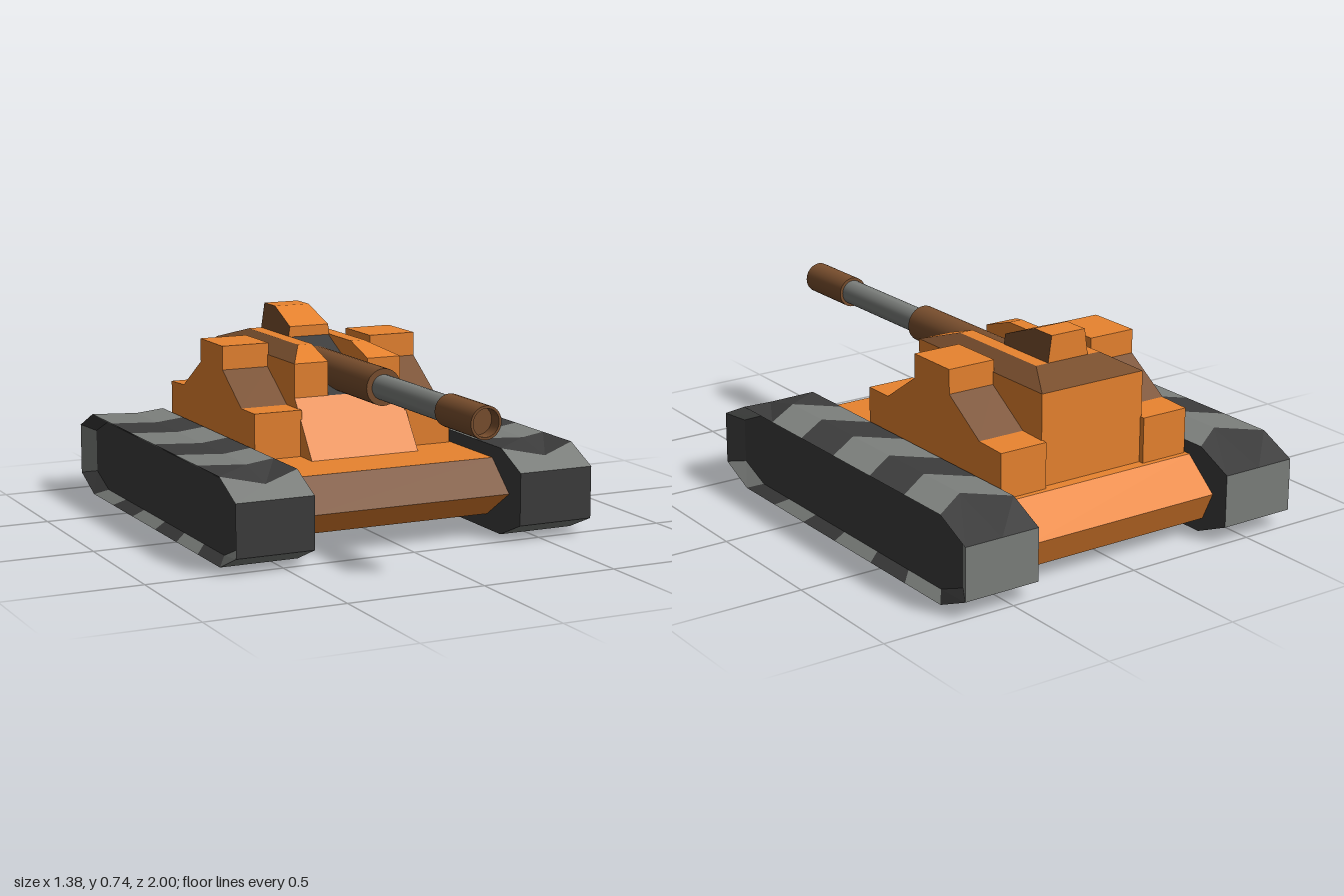
import * as THREE from 'three';
import { toCreasedNormals } from 'three/addons/utils/BufferGeometryUtils.js';

const ORANGE = 0xe8832f, BROWN = 0x7a4f2e, DARK = 0x3c3c3c, LIGHT = 0x7c7f7c;

// Flat-shaded group from faces [color, [corner, ...]], one mesh per color
function panels(name, faces) {
  const group = new THREE.Group();
  group.name = name;
  const byColor = new Map();
  for (const [color, pts] of faces) {
    if (!byColor.has(color)) byColor.set(color, []);
    for (let i = 1; i < pts.length - 1; i++) byColor.get(color).push(...pts[0], ...pts[i], ...pts[i + 1]);
  }
  for (const [color, pos] of byColor) {
    const geo = new THREE.BufferGeometry();
    geo.setAttribute('position', new THREE.Float32BufferAttribute(pos, 3));
    geo.computeVertexNormals();
    const mesh = new THREE.Mesh(geo, new THREE.MeshStandardMaterial({ color, flatShading: true }));
    mesh.name = name + 'Panels';
    group.add(mesh);
  }
  return group;
}

const mirror = faces => faces.map(([c, pts]) => [c, pts.map(([x, y, z]) => [-x, y, z]).reverse()]);

// Cap closing a [z, y] profile at a given x; side is +1 or -1
function cap(profile, xAt, side, color) {
  const tris = THREE.ShapeUtils.triangulateShape(profile.map(p => new THREE.Vector2(...p)), []);
  return tris.map(t => {
    const pts = t.map(i => [xAt(profile[i][1]), profile[i][1], profile[i][0]]);
    return [color, side > 0 ? pts.reverse() : pts];
  });
}

// Prism along x; profile is [z, y] running front, up, back; edge colors may differ
function prism(profile, x0, x1, edgeColors = {}, capColor = ORANGE) {
  const lo = typeof x0 === 'function' ? x0 : () => x0;
  const hi = typeof x1 === 'function' ? x1 : () => x1;
  const faces = profile.map(([z, y], i) => {
    const [z2, y2] = profile[(i + 1) % profile.length];
    return [edgeColors[i] ?? ORANGE, [[lo(y), y, z], [hi(y), y, z], [hi(y2), y2, z2], [lo(y2), y2, z2]]];
  });
  return [...faces, ...cap(profile, lo, -1, capColor), ...cap(profile, hi, 1, capColor)];
}

// Track: a ring of chevron plates with a recessed outer panel
function trackFaces() {
  const inner = 0.4, mid = 0.545, outer = 0.69, panelX = 0.65;
  const zs = [0.4, 0.2, 0, -0.21, -0.44, -0.65, -0.86];
  const edge = [
    [0.54, 0.06], [0.54, 0.25], ...zs.map(z => [z, 0.315]),
    [-1, 0.25], [-1, 0.06], ...[...zs].reverse().map(z => [z, 0]),
  ];
  const centre = edge.map(([z, y], i) => {
    if (i === 2) return [0.46, 0.288];
    return y > 0.3 ? [z + 0.1, 0.325] : [z, y];
  });
  const panel = edge.map(([z, y]) => [-0.23 + (z + 0.23) * 0.91, 0.157 + (y - 0.157) * 0.84]);
  const faces = [];
  const band = (i, color, xa, A, xb, B) => {
    const j = (i + 1) % edge.length;
    const at = (x, [z, y]) => [x, y, z];
    faces.push([color, [at(xa, A[i]), at(xb, B[i]), at(xb, B[j]), at(xa, A[j])]]);
  };
  edge.forEach((_, i) => {
    const color = i % 2 ? LIGHT : DARK;
    band(i, color, inner, edge, mid, centre);
    band(i, color, mid, centre, outer, edge);
    band(i, color, outer, edge, panelX, panel);
  });
  return [...faces, ...cap(edge, () => inner, -1, DARK), ...cap(panel, () => panelX, 1, DARK)];
}

// One side of the turret's upper part, next to the gun slot
function turretHalfFaces() {
  const a = [0.08, 0.475, -0.03], b = [0.213, 0.475, -0.03], c = [0.213, 0.6, -0.03], f = [0.08, 0.6, -0.03];
  const d = [0.135, 0.645, -0.17], e = [0.08, 0.645, -0.17], m = [0.08, 0.645, -0.37];
  const g = [0.213, 0.6, -0.76], h = [0.135, 0.645, -0.62], i = [0.08, 0.645, -0.62];
  const j = [0, 0.6, -0.76], k = [0, 0.645, -0.62], l = [0.213, 0.475, -0.76], n = [0, 0.475, -0.76];
  return [
    [ORANGE, [a, b, c, f]], [ORANGE, [f, c, d, e]], [ORANGE, [e, d, h, i]],
    [ORANGE, [b, l, g, c]], [ORANGE, [l, n, j, g]], [ORANGE, [a, f, e, m]],
    [BROWN, [c, g, h, d]], [BROWN, [g, j, k, h]],
  ];
}

// Round gun section from a [radius, z] profile
function gunPart(name, color, profile) {
  const geo = new THREE.LatheGeometry(profile.map(p => new THREE.Vector2(...p)), 32);
  geo.rotateX(Math.PI / 2);
  const mesh = new THREE.Mesh(toCreasedNormals(geo, 0.6), new THREE.MeshStandardMaterial({ color }));
  mesh.name = name;
  mesh.position.y = 0.545;
  return mesh;
}

export function createModel() {
  const model = new THREE.Group();
  model.name = 'tank';

  // Hull between the tracks
  model.add(panels('hull', prism(
    [[0.46, 0.16], [0.335, 0.27], [-0.8, 0.27], [-0.93, 0.16], [-0.88, 0.055], [0.3, 0.055]],
    -0.4, 0.4, { 0: BROWN })));

  // Tracks and stepped side pods
  const track = trackFaces();
  const pod = prism(
    [[0.02, 0.26], [0.02, 0.44], [-0.1, 0.44], [-0.27, 0.555], [-0.27, 0.643], [-0.48, 0.643],
      [-0.48, 0.555], [-0.655, 0.44], [-0.78, 0.435], [-0.78, 0.26]],
    0.208, 0.393, { 2: BROWN, 6: BROWN });
  model.add(panels('leftTrack', track), panels('rightTrack', mirror(track)));
  model.add(panels('leftPod', pod), panels('rightPod', mirror(pod)));

  // Turret base, roof halves and the sloped floor of the gun slot
  const half = turretHalfFaces();
  model.add(panels('turretBase', prism(
    [[0.12, 0.265], [-0.03, 0.475], [-0.76, 0.475], [-0.76, 0.265]], -0.213, 0.213)));
  model.add(panels('turretTop', [...half, ...mirror(half)]));
  model.add(panels('gunSlot', prism(
    [[-0.03, 0.475], [-0.37, 0.645], [-0.62, 0.645], [-0.62, 0.475]],
    -0.08, 0.08, { 0: DARK, 1: DARK, 2: DARK, 3: DARK }, DARK)));

  // Tapered hood behind the gun
  const hoodX = y => 0.085 - (y - 0.64) * 0.15;
  model.add(panels('hood', prism(
    [[-0.365, 0.64], [-0.365, 0.682], [-0.52, 0.74], [-0.62, 0.74], [-0.62, 0.64]],
    y => -hoodX(y), hoodX, {}, BROWN)));

  // Gun: sleeve, barrel and hollow muzzle
  const gun = new THREE.Group();
  gun.name = 'gun';
  gun.add(
    gunPart('gunSleeve', BROWN, [[0, -0.36], [0.067, -0.36], [0.067, 0.26], [0, 0.26]]),
    gunPart('barrel', LIGHT, [[0.046, 0.25], [0.046, 0.76]]),
    gunPart('muzzle', BROWN, [[0, 0.75], [0.057, 0.75], [0.057, 1], [0.048, 1], [0.048, 0.95], [0, 0.95]]),
  );
  model.add(gun);
  return model;
}
